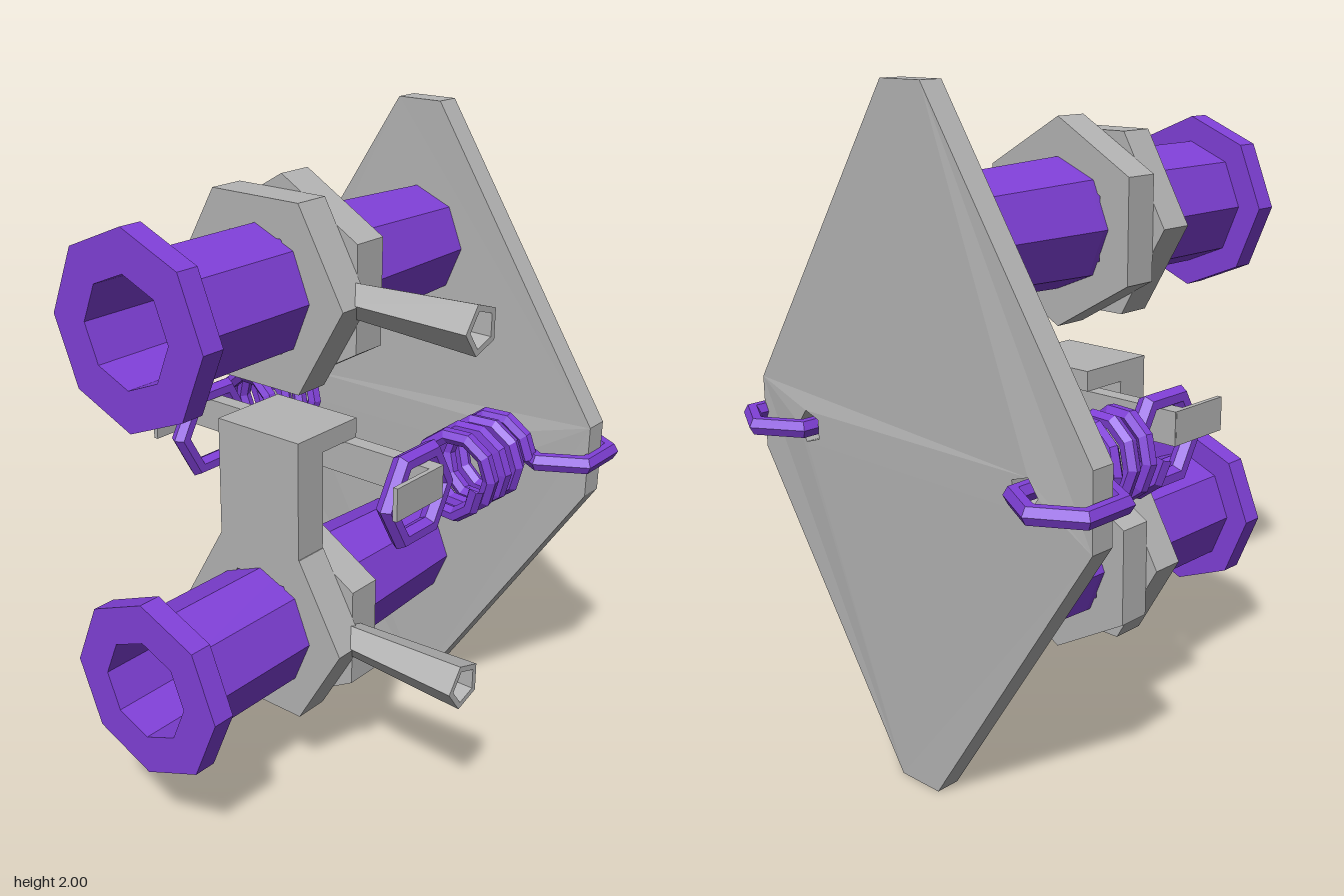
import * as THREE from 'three';

const steel = new THREE.MeshStandardMaterial({ color: 0xb4b4b4, flatShading: true });
steel.name = 'steel grey';
const purple = new THREE.MeshStandardMaterial({ color: 0x8040d8, flatShading: true });
purple.name = 'purple';

const v2 = (pts) => pts.map(([x, y]) => new THREE.Vector2(x, y));

function add(parent, name, geometry, material, x = 0, y = 0, z = 0) {
  const mesh = new THREE.Mesh(geometry, material);
  mesh.name = name;
  mesh.position.set(x, y, z);
  parent.add(mesh);
  return mesh;
}

// Lathe whose axis points along +z
const latheZ = (profile, sides) => new THREE.LatheGeometry(v2(profile), sides).rotateX(Math.PI / 2);

const box = (w, h, d) => new THREE.BoxGeometry(w, h, d);

// Diamond back plate with two hook holes, slightly thicker towards the middle
function plateGeometry() {
  const shape = new THREE.Shape(v2([
    [-0.07, 0], [0.08, 0], [0.66, 0.89], [0.66, 1.11],
    [0.08, 2], [-0.07, 2], [-0.65, 1.11], [-0.65, 0.89],
  ]));
  for (const s of [-1, 1]) {
    const hole = [];
    for (let i = 0; i < 5; i++) {
      const a = (i / 5) * Math.PI * 2;
      hole.push([s * (0.43 + 0.05 * Math.cos(a)), 1 + 0.05 * Math.sin(a)]);
    }
    shape.holes.push(new THREE.Path(v2(hole)));
  }
  const geo = new THREE.ExtrudeGeometry(shape, { depth: 0.075, bevelEnabled: false });
  const p = geo.attributes.position;
  for (let i = 0; i < p.count; i++) {
    if (Math.abs(p.getX(i)) < 0.55 && Math.abs(p.getY(i) - 1) < 0.1) {
      p.setZ(i, p.getZ(i) + (p.getZ(i) > 0.03 ? 0.01 : -0.012));
    }
  }
  geo.computeVertexNormals();
  return geo;
}

// Coil spring along z, wound in mirrored directions on the two sides
function springGeometry(side) {
  const turns = 4, steps = 10, points = [];
  for (let i = 0; i <= turns * steps; i++) {
    const a = (i / steps) * Math.PI * 2;
    points.push(new THREE.Vector3(
      side * 0.112 * Math.cos(a), 0.116 * Math.sin(a), -0.405 + 0.28 * i / (turns * steps)));
  }
  return new THREE.TubeGeometry(new THREE.CatmullRomCurve3(points), turns * steps, 0.024, 6);
}

function addBarrel(root, y, name) {
  const barrel = new THREE.Group();
  barrel.name = name;
  barrel.position.set(0.005, y, 0);
  root.add(barrel);

  // Hollow eight-sided tube with a front flange
  add(barrel, 'barrelTube', latheZ([
    [0.172, -0.5], [0.192, 0], [0.192, 0.65], [0.27, 0.65],
    [0.27, 0.72], [0.152, 0.72], [0.152, -0.5],
  ], 8), purple);
  add(barrel, 'ball', new THREE.IcosahedronGeometry(0.12, 0), steel, 0, 0, -0.1);

  // Two hexagonal clamp rings, turned against each other
  const ring = [[0.185, -0.055], [0.306, -0.055], [0.306, 0.055], [0.185, 0.055], [0.185, -0.055]];
  add(barrel, 'rearClampRing', latheZ(ring, 6), steel, 0, 0, 0.073);
  add(barrel, 'frontClampRing', latheZ(ring, 6).rotateZ(Math.PI / 2), steel, 0, 0, 0.183);

  // Flared hollow five-sided side handle
  const handle = new THREE.LatheGeometry(v2([
    [0, 0.26], [0.052, 0.26], [0.072, 0.665], [0.052, 0.665], [0.042, 0.35], [0, 0.35],
  ]), 5).rotateZ(-Math.PI / 2);
  add(barrel, 'sideHandle', handle, steel, 0, 0.005, 0.13);
}

export function createModel() {
  const root = new THREE.Group();
  root.name = 'springMount';

  add(root, 'backPlate', plateGeometry(), steel, 0, 0, -0.575);
  addBarrel(root, 1.57, 'upperBarrel');
  addBarrel(root, 0.53, 'lowerBarrel');

  // Post on the lower clamp with its cap and crossbar
  add(root, 'post', box(0.305, 0.43, 0.11), steel, 0.003, 0.945, 0.183);
  add(root, 'postCap', box(0.305, 0.06, 0.16), steel, 0.003, 1.13, 0.056);
  add(root, 'crossbar', box(0.94, 0.1, 0.05), steel, 0, 1.05, 0.005);

  for (const side of [-1, 1]) {
    const label = side > 0 ? 'left' : 'right';
    add(root, label + 'BarEnd', box(0.015, 0.1, 0.21), steel, side * 0.463, 1.05, 0.09);
    add(root, label + 'Spring', springGeometry(side), purple, side * 0.405, 1.005, 0);

    // Front hook loops round the bar, rear hook loops through the plate
    const front = new THREE.TorusGeometry(0.135, 0.03, 6, 6).rotateY(Math.PI / 2);
    add(root, label + 'FrontHook', front, purple, side * 0.4, 1, 0.012);
    const rear = new THREE.TorusGeometry(0.141, 0.028, 6, 6).rotateZ(Math.PI / 2).rotateX(Math.PI / 2);
    add(root, label + 'RearHook', rear, purple, side * 0.545, 1.003, -0.546);
  }
  return root;
}
